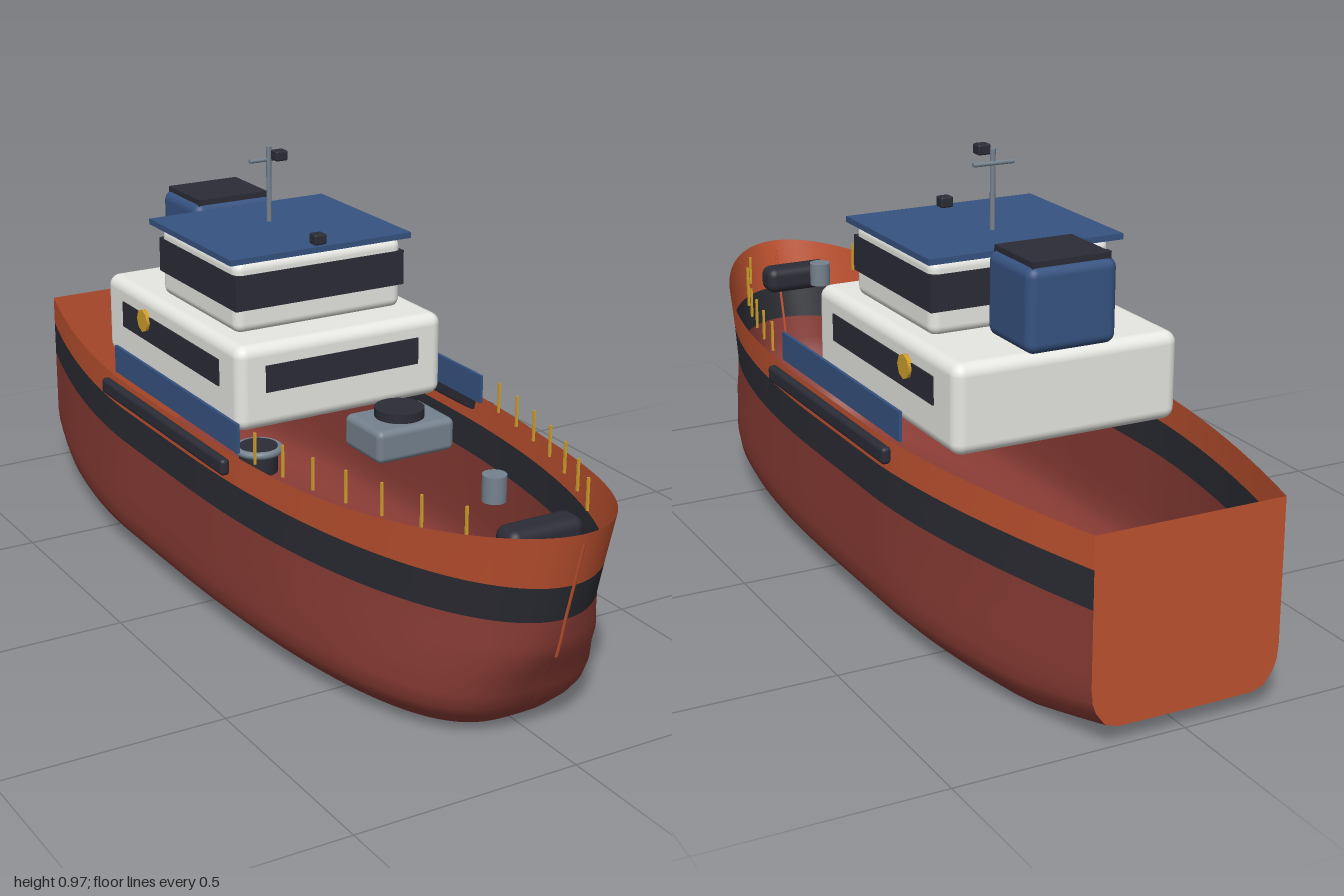
import * as THREE from 'three';
import { RoundedBoxGeometry } from 'three/addons/geometries/RoundedBoxGeometry.js';

const material = (name, color, side = THREE.FrontSide) => {
  const m = new THREE.MeshStandardMaterial({ color, side });
  m.name = name;
  return m;
};

// Half breadth of the hull along its length; a low power gives a blunt bow
const halfBreadth = (z, power = 0.5) => z > 0
  ? 0.33 * Math.pow(Math.max(0, 1 - Math.pow(z, 2.2)), power)
  : 0.33 - 0.12 * Math.pow(Math.max(0, (-z - 0.3) / 0.7), 1.7);

// Height of the bulwark edge along the length
const sheer = (z) => 0.438 + 0.05 * Math.pow(Math.max(0, (z - 0.4) / 0.6), 1.6);

// Hull rows: [breadth factor, height (null = sheer), z of the stem]
const bottomRows = [
  [0, 0.007, 0.77], [0.4, 0.007, 0.77], [0.72, 0.008, 0.775], [0.85, 0.018, 0.8],
  [0.95, 0.05, 0.835], [0.985, 0.075, 0.855], [1, 0.11, 0.872], [1, 0.16, 0.895],
  [1, 0.2, 0.922], [1, 0.235, 0.933], [1, 0.29, 0.946],
];
const bandRows = [[1, 0.29, 0.946], [1, 0.37, 0.968]];
const bulwarkRows = [[1, 0.37, 0.968], [1, null, 1]];

function hullPoint([f, y, stem], side, s) {
  const z = -1 + (s + 1) * (stem + 1) / 2;
  let h = y === null ? sheer(s) : y;
  const power = 0.33 + 0.17 * THREE.MathUtils.smoothstep(h, 0.08, 0.3);
  const rise = Math.max(0, (-z - 0.8) / 0.2);
  h += 0.035 * rise * Math.max(0, 1 - h / 0.29);
  return new THREE.Vector3(side * f * halfBreadth(s, power), h, z);
}

// Skin through a list of [row, side] lines, stations crowded at the bow
function skin(lines) {
  const N = 64, n = lines.length, pos = [], index = [];
  for (let i = 0; i <= N; i++) {
    const s = 1 - 2 * Math.pow(1 - i / N, 2.2);
    lines.forEach(([row, side]) => pos.push(...hullPoint(row, side, s).toArray()));
  }
  for (let i = 0; i < N; i++) {
    for (let j = 0; j < n - 1; j++) {
      const a = i * n + j, b = a + 1, c = a + n, d = c + 1;
      index.push(a, b, c, b, d, c);
    }
  }
  const g = new THREE.BufferGeometry();
  g.setAttribute('position', new THREE.Float32BufferAttribute(pos, 3));
  g.setIndex(index);
  g.computeVertexNormals();
  return g;
}

export function createModel() {
  const red = material('hull red', 0x8a3c35, THREE.DoubleSide);
  const orange = material('bulwark orange', 0xbf5230, THREE.DoubleSide);
  const black = material('band black', 0x2b2c33, THREE.DoubleSide);
  const dark = material('dark fittings', 0x2b2c36);
  const white = material('cabin white', 0xefefeb);
  const blue = material('blue paint', 0x365381);
  const grey = material('metal grey', 0x76828f);
  const gold = material('gold', 0xd0a02c);

  const model = new THREE.Group();
  const add = (name, geo, mat, x = 0, y = 0, z = 0) => {
    const mesh = new THREE.Mesh(geo, mat);
    mesh.name = name;
    mesh.position.set(x, y, z);
    model.add(mesh);
    return mesh;
  };
  // Boxes given by their limits; radius rounds the edges
  const box = (name, mat, [x0, x1], [y0, y1], [z0, z1], radius = 0) => {
    const size = [x1 - x0, y1 - y0, z1 - z0];
    const geo = radius ? new RoundedBoxGeometry(...size, 4, radius) : new THREE.BoxGeometry(...size);
    return add(name, geo, mat, (x0 + x1) / 2, (y0 + y1) / 2, (z0 + z1) / 2);
  };
  const cylinder = (name, mat, r, h, x, y, z, sides = 24) =>
    add(name, new THREE.CylinderGeometry(r, r, h, sides), mat, x, y, z);

  // Open hull shell
  const port = (rows) => rows.map((r) => [r, 1]);
  const starboard = (rows) => [...rows].reverse().map((r) => [r, -1]);
  add('lowerHull', skin([...starboard(bottomRows.slice(1)), ...port(bottomRows)]), red);
  for (const lines of [port, starboard]) {
    add('hullBand', skin(lines(bandRows)), black);
    add('bulwark', skin(lines(bulwarkRows)), orange);
  }

  // Flat transom following the stern section
  const section = [...bottomRows, ...bulwarkRows];
  const outline = [
    ...section.map((r) => hullPoint(r, 1, -1)),
    ...[...section].reverse().map((r) => hullPoint(r, -1, -1)),
  ].map((p) => new THREE.Vector2(-p.x, p.y));
  const transom = add('transom', new THREE.ShapeGeometry(new THREE.Shape(outline)), orange, 0, 0, -1);
  transom.rotation.y = Math.PI;

  // Stem bar
  const stem = new THREE.CatmullRomCurve3(
    [...bottomRows.slice(8), ...bulwarkRows.slice(0, 1)].map((r) => hullPoint(r, 1, 1))
      .concat(new THREE.Vector3(0, 0.465, 0.993)));
  add('stemBar', new THREE.TubeGeometry(stem, 16, 0.0035, 8), orange);

  // Deckhouse and wheelhouse
  box('deckhouse', white, [-0.26, 0.26], [0.438, 0.63], [-0.548, 0.117], 0.026);
  box('deckhouseFrontWindow', dark, [-0.193, 0.193], [0.523, 0.584], [0.113, 0.12]);
  box('wheelhouse', white, [-0.211, 0.211], [0.625, 0.788], [-0.347, 0.019], 0.022);
  box('wheelhouseWindows', dark, [-0.213, 0.213], [0.68, 0.759], [-0.35, 0.022]);
  box('roof', blue, [-0.228, 0.228], [0.787, 0.8], [-0.37, 0.028]);

  // Funnel
  box('funnel', blue, [-0.103, 0.103], [0.63, 0.81], [-0.56, -0.38], 0.022);
  box('funnelCap', dark, [-0.09, 0.09], [0.802, 0.82], [-0.548, -0.39]);

  // Mast and roof lights
  cylinder('mast', grey, 0.006, 0.174, 0, 0.886, -0.215, 12);
  cylinder('mastCrossbar', grey, 0.005, 0.096, 0, 0.943, -0.218, 12).rotation.z = Math.PI / 2;
  box('mastLamp', dark, [-0.015, 0.015], [0.952, 0.975], [-0.18, -0.152], 0.004);
  box('roofLamp', dark, [-0.015, 0.015], [0.8, 0.824], [-0.008, 0.02], 0.004);

  // Foredeck fittings
  box('winchBase', grey, [-0.094, 0.094], [0.438, 0.51], [0.278, 0.42], 0.014);
  cylinder('winchDrum', dark, 0.053, 0.02, 0, 0.52, 0.348, 32);
  cylinder('bollard', grey, 0.025, 0.056, 0, 0.473, 0.7);
  box('bowFender', dark, [-0.088, 0.088], [0.395, 0.46], [0.82, 0.888], 0.022);

  // Mirrored side parts
  for (const s of [-1, 1]) {
    const span = (a, b) => (s > 0 ? [a, b] : [-b, -a]);
    box('deckhouseSideWindow', dark, span(0.257, 0.263), [0.523, 0.584], [-0.455, 0.03]);
    cylinder('sideLamp', gold, 0.027, 0.018, s * 0.261, 0.571, -0.335, 8).rotation.z = Math.PI / 2;
    box('sidePanel', blue, span(0.304, 0.311), [0.435, 0.5], [-0.4, 0.205]);
    box('sideFender', dark, span(0.327, 0.349), [0.39, 0.427], [-0.4, 0.205], 0.009);

    // Rail posts follow the bulwark
    for (let i = 0; i < 7; i++) {
      const z = 0.275 + i * 0.09;
      const x = s * (halfBreadth(z) - 0.014 - i * 0.007);
      add('railPost', new THREE.BoxGeometry(0.005, 0.07, 0.005), gold, x, 0.47, z);
    }

    // Thruster pod with its ring
    cylinder('thruster', dark, 0.05, 0.07, s * 0.16, 0.065, -0.575);
    const ring = add('thrusterRing', new THREE.TorusGeometry(0.055, 0.01, 10, 32), grey, s * 0.16, 0.09, -0.575);
    ring.rotation.x = Math.PI / 2;
    cylinder('thrusterFoot', grey, 0.016, 0.03, s * 0.16, 0.017, -0.575, 16);
  }

  return model;
}
